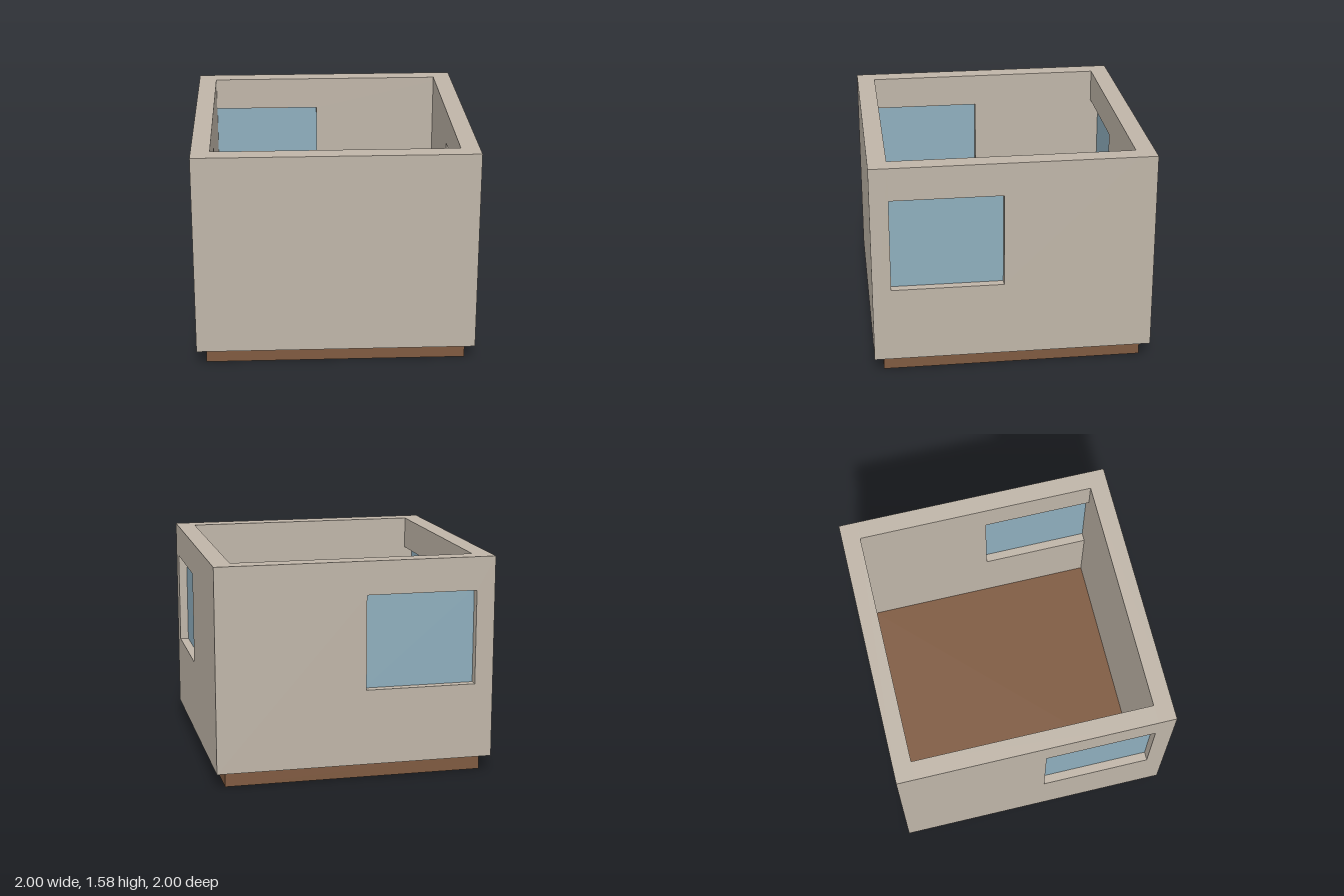
import * as THREE from 'three';

const T = 0.133;            // wall thickness
const IN = 1 - T;           // inner face of the walls
const Y0 = 0.115, Y1 = 1.58; // wall bottom and top
const W0 = 0.66, W1 = 1.34; // window sill and head
const NEAR = 0.07;          // window edge nearest the middle of its wall

const polygon = (pts) => pts.map(([x, y]) => new THREE.Vector2(x, y));
const extrude = (shape) => new THREE.ExtrudeGeometry(shape, { depth: T, bevelEnabled: false });

export function createModel() {
  const model = new THREE.Group();
  model.name = 'room';

  const wallMat = new THREE.MeshStandardMaterial({ color: 0xbfb5a8 });
  wallMat.name = 'beige plaster';
  const floorMat = new THREE.MeshStandardMaterial({ color: 0x7f5a40 });
  floorMat.name = 'brown wood';
  const glassMat = new THREE.MeshStandardMaterial({ color: 0x8eaebd });
  glassMat.name = 'blue glass';

  const add = (name, geometry, material, x = 0, y = 0, z = 0) => {
    const mesh = new THREE.Mesh(geometry, material);
    mesh.name = name;
    mesh.position.set(x, y, z);
    model.add(mesh);
  };

  // Floor slab, set in from the outer walls
  add('floor', new THREE.BoxGeometry(1.866, Y0, 1.866), floorMat, 0, Y0 / 2, 0);

  // Solid front wall
  add('frontWall', new THREE.BoxGeometry(2, Y1 - Y0, T), wallMat, 0, (Y0 + Y1) / 2, 1 - T / 2);

  // Back wall with one window opening
  const back = new THREE.Shape(polygon([[-1, Y0], [1, Y0], [1, Y1], [-1, Y1]]));
  back.holes.push(new THREE.Path(polygon([[-IN, W0], [-IN, W1], [-NEAR, W1], [-NEAR, W0]])));
  add('backWall', extrude(back), wallMat, 0, 0, -1);

  // Side walls: the opening runs up to the front wall
  const side = new THREE.Shape(polygon([
    [-IN, Y0], [IN, Y0], [IN, W0], [NEAR, W0], [NEAR, W1], [IN, W1], [IN, Y1], [-IN, Y1],
  ]));
  const sideGeometry = extrude(side).rotateY(-Math.PI / 2);
  add('leftWall', sideGeometry, wallMat, 1);
  add('rightWall', sideGeometry, wallMat, -IN);

  // Glass panes in the middle of the wall thickness
  const width = IN - NEAR, height = W1 - W0;
  const mid = (IN + NEAR) / 2, midY = (W0 + W1) / 2, depth = 1 - T / 2;
  const sidePane = new THREE.BoxGeometry(0.009, height, width);
  add('leftWindow', sidePane, glassMat, depth, midY, mid);
  add('rightWindow', sidePane, glassMat, -depth, midY, mid);
  add('backWindow', new THREE.BoxGeometry(width, height, 0.009), glassMat, -mid, midY, -depth);

  return model;
}
